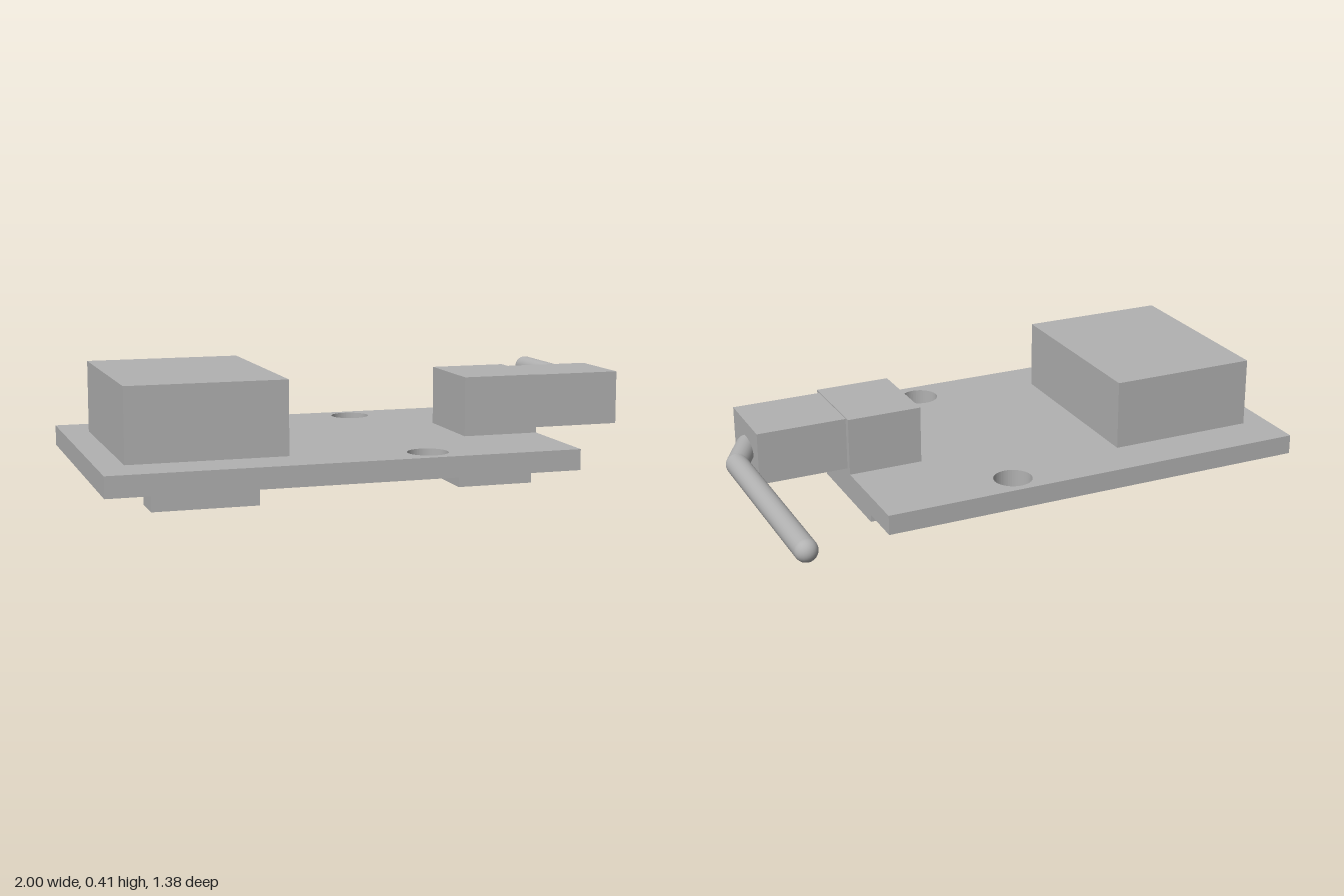
import * as THREE from 'three';

const grey = new THREE.MeshStandardMaterial({ color: 0xb2b2b2 });
grey.name = 'plain grey';

// Box given by its extents on each axis
function block(name, [x0, x1], [y0, y1], [z0, z1]) {
  const mesh = new THREE.Mesh(new THREE.BoxGeometry(x1 - x0, y1 - y0, z1 - z0), grey);
  mesh.position.set((x0 + x1) / 2, (y0 + y1) / 2, (z0 + z1) / 2);
  mesh.name = name;
  return mesh;
}

// Circuit board with two round mounting holes
function createBoard() {
  const shape = new THREE.Shape();
  shape.moveTo(-1, -0.69);
  shape.lineTo(0.572, -0.69);
  shape.lineTo(0.572, 0.34);
  shape.lineTo(-1, 0.34);
  shape.closePath();
  for (const z of [-0.245, 0.588]) {
    shape.holes.push(new THREE.Path().absarc(0.075, -z, 0.068, 0, Math.PI * 2, true));
  }
  const geometry = new THREE.ExtrudeGeometry(shape, { depth: 0.07, bevelEnabled: false, curveSegments: 32 });
  geometry.rotateX(-Math.PI / 2);
  const board = new THREE.Mesh(geometry, grey);
  board.position.y = 0.092;
  board.name = 'board';
  return board;
}

// Round cable made of straight runs with rounded joints and ends
function createCable() {
  const cable = new THREE.Group();
  cable.name = 'cable';
  const radius = 0.038;
  const points = [[0.885, 0.18], [0.962, 0.04], [0.962, -0.657]]
    .map(([x, z]) => new THREE.Vector3(x, 0.268, z));
  const up = new THREE.Vector3(0, 1, 0);
  points.forEach((point, i) => {
    const joint = new THREE.Mesh(new THREE.SphereGeometry(radius, 24, 16), grey);
    joint.position.copy(point);
    joint.name = 'cableJoint';
    cable.add(joint);
    if (i === 0) return;
    const run = point.clone().sub(points[i - 1]);
    const length = run.length();
    const tube = new THREE.Mesh(new THREE.CylinderGeometry(radius, radius, length, 24, 1, true), grey);
    tube.position.copy(point).add(points[i - 1]).multiplyScalar(0.5);
    tube.quaternion.setFromUnitVectors(up, run.normalize());
    tube.name = 'cableRun';
    cable.add(tube);
  });
  return cable;
}

export function createModel() {
  const model = new THREE.Group();
  model.name = 'circuitModule';
  model.add(
    createBoard(),
    // Parts on the upper side
    block('mainComponent', [-0.908, -0.375], [0.162, 0.41], [-0.17, 0.525]),
    block('socket', [0.305, 0.572], [0.162, 0.366], [0.02, 0.332]),
    block('plug', [0.572, 0.888], [0.177, 0.362], [0.043, 0.31]),
    // Parts on the underside
    block('undersideNarrowChip', [-0.82, -0.465], [0, 0.092], [0.365, 0.492]),
    block('undersideWideChip', [0.258, 0.525], [0, 0.092], [-0.045, 0.402]),
    createCable(),
  );
  return model;
}
